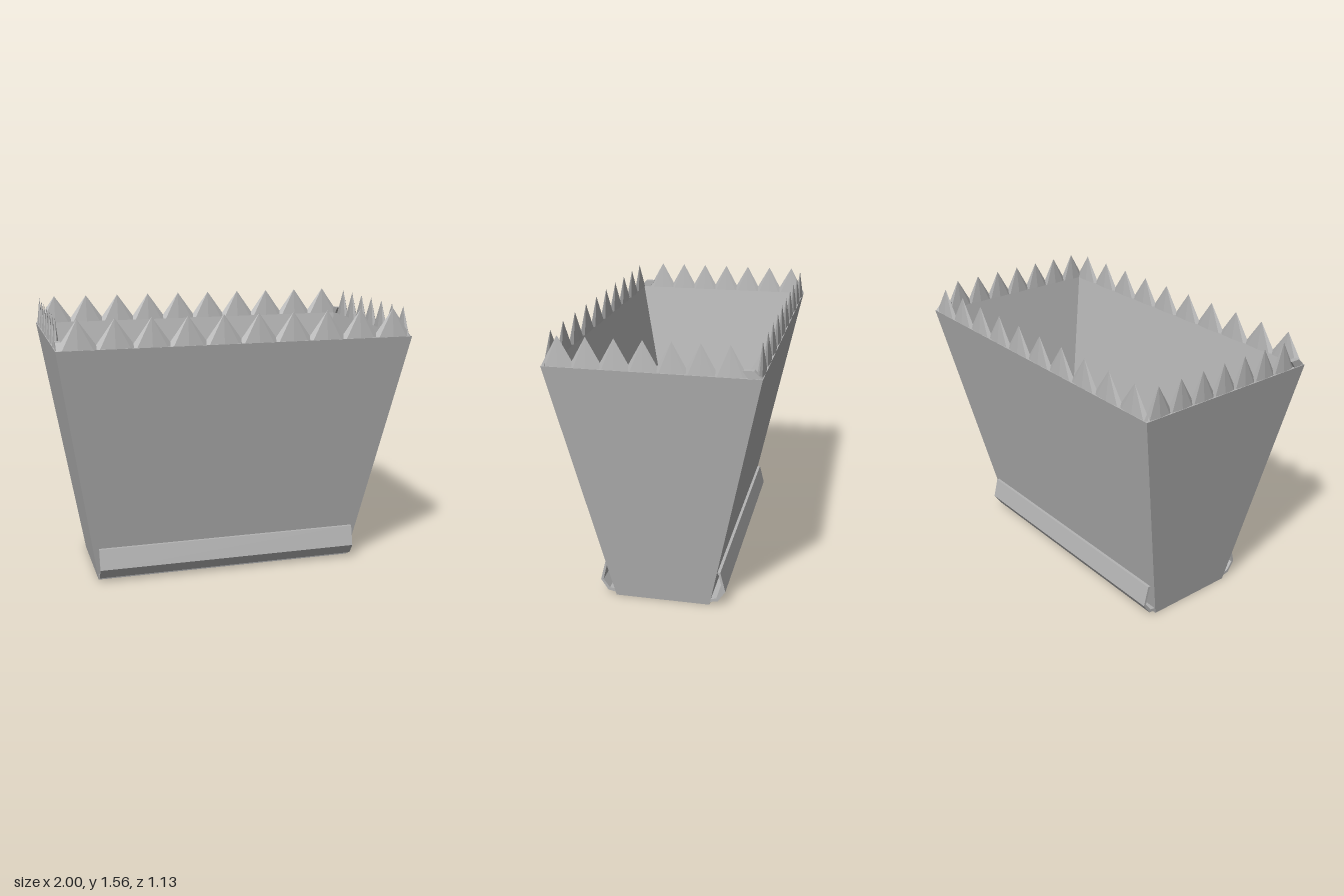
import * as THREE from 'three';

const grey = new THREE.MeshStandardMaterial({ color: 0xb4b4b4, flatShading: true });
grey.name = 'grey plastic';

function part(name, geometry) {
  const mesh = new THREE.Mesh(geometry, grey);
  mesh.name = name;
  return mesh;
}

// Closed shell through rectangular rings [half width, y, half depth]
function shell(rings) {
  const loops = rings.map(([x, y, z]) => [[x, y, z], [x, y, -z], [-x, y, -z], [-x, y, z]]);
  const pos = [];
  const quad = (a, b, c, d) => [a, b, c, a, c, d].forEach((p) => pos.push(...p));
  for (let r = 0; r < loops.length - 1; r++) {
    for (let i = 0; i < 4; i++) {
      const j = (i + 1) % 4;
      quad(loops[r][i], loops[r][j], loops[r + 1][j], loops[r + 1][i]);
    }
  }
  quad(...[...loops[0]].reverse());
  quad(...loops[loops.length - 1]);
  const g = new THREE.BufferGeometry();
  g.setAttribute('position', new THREE.Float32BufferAttribute(pos, 3));
  g.computeVertexNormals();
  return g;
}

// Profile of [z, y] points extruded along x, centred
function bar(points, width) {
  const shape = new THREE.Shape(points.map(([z, y]) => new THREE.Vector2(z, y)));
  const g = new THREE.ExtrudeGeometry(shape, { depth: width, bevelEnabled: false });
  g.translate(0, 0, -width / 2);
  g.rotateY(-Math.PI / 2);
  return g;
}

// Flattened cone standing on the rim
function tooth(rx, rz, x, z) {
  const g = new THREE.ConeGeometry(1, 0.16, 8);
  g.scale(rx, 1, rz);
  g.translate(x, 1.48, z);
  return part('tooth', g);
}

// One long side and one short side with their details
function halfRim(name) {
  const half = new THREE.Group();
  half.name = name;
  for (let i = 0; i < 10; i++) half.add(tooth(0.115, 0.02, (i - 4.5) * 0.1965, 0.543));
  for (let i = 0; i < 7; i++) half.add(tooth(0.018, 0.09, 0.98, 0.475 - i * 0.146));

  // Stub at the end of the short row
  const stub = part('stub', bar([[-0.46, 1.44], [-0.52, 1.44], [-0.56, 1.4], [-0.49, 1.4]].reverse(), 0.03));
  stub.position.x = 0.98;
  half.add(stub);

  // Bent lip along the foot of the long side
  half.add(part('lip', bar([
    [0.268, 0.018], [0.315, 0.027], [0.357, 0.09], [0.328, 0.207], [0.308, 0.207],
    [0.319, 0.19], [0.342, 0.092], [0.306, 0.043], [0.272, 0.038],
  ], 1.55)));
  return half;
}

export function createModel() {
  const model = new THREE.Group();
  model.name = 'bucket';
  model.add(part('tub', shell([
    [0.775, 0, 0.268], [1, 1.4, 0.563], [0.972, 1.4, 0.535], [0.75, 0.02, 0.25],
  ])));
  const front = halfRim('frontHalf');
  const back = halfRim('backHalf');
  back.rotation.y = Math.PI;
  model.add(front, back);
  return model;
}
